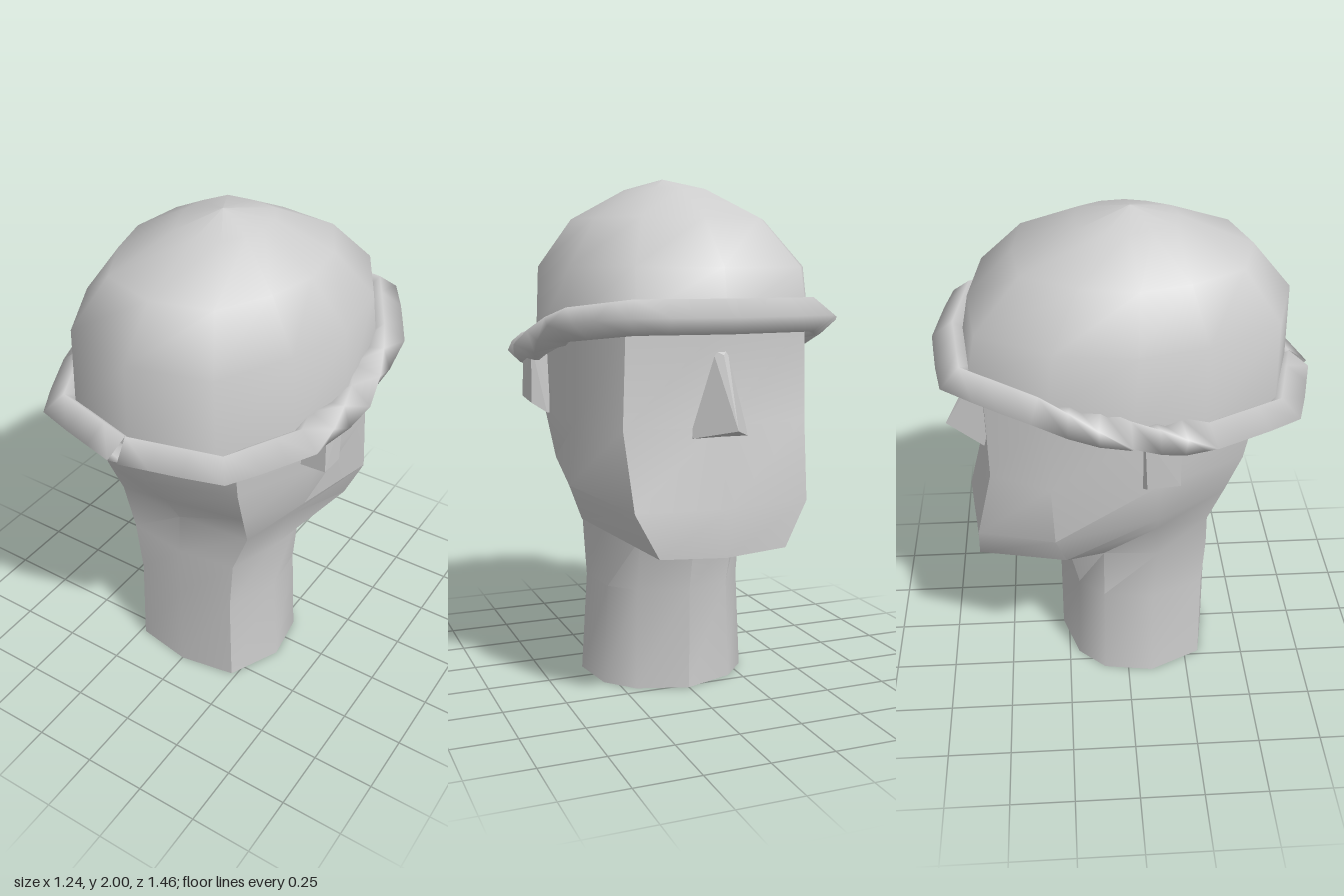
import * as THREE from 'three';
import { toCreasedNormals } from 'three/addons/utils/BufferGeometryUtils.js';
import { ConvexGeometry } from 'three/addons/geometries/ConvexGeometry.js';

const grey = new THREE.MeshStandardMaterial({ color: 0xcccccc, side: THREE.DoubleSide });
grey.name = 'plain grey';

// Skins closed rings of [x, y, z] points, then keeps edges above the crease angle sharp
function loft(rings, crease) {
  const n = rings[0].length, index = [];
  for (let i = 0; i < rings.length - 1; i++) {
    for (let j = 0; j < n; j++) {
      const a = i * n + j, b = i * n + (j + 1) % n;
      index.push(a, b, b + n, a, b + n, a + n);
    }
  }
  const g = new THREE.BufferGeometry();
  g.setAttribute('position', new THREE.Float32BufferAttribute(rings.flat(2), 3));
  g.setIndex(index);
  g.computeVertexNormals();
  return crease ? toCreasedNormals(g, crease) : g;
}

// Completes a half ring whose first and last points lie on x = 0
const mirrorRing = (half) => [...half, ...half.slice(1, -1).reverse().map(([x, y, z]) => [-x, y, z])];

function part(group, name, geometry) {
  const mesh = new THREE.Mesh(geometry, grey);
  mesh.name = name;
  group.add(mesh);
}

// Neck, jaw and face: each half ring runs from the nape round the side to the face
function headGeometry() {
  const rows = [
    [[0, 0, .35], [.23, 0, .31], [.33, 0, .1], [.3, 0, -.1], [.2, 0, -.21], [0, 0, -.275]],
    [[0, .4, .35], [.22, .4, .31], [.305, .4, .1], [.28, .4, -.1], [.19, .4, -.2], [0, .4, -.275]],
    [[0, .62, .345], [.24, .63, .32], [.315, .64, .12], [.3, .64, -.1], [.2, .615, -.25], [0, .61, -.32]],
    [[0, .8, .34], [.3, .8, .31], [.36, .8, .1], [.43, .72, -.25], [.25, .63, -.6], [0, .62, -.625]],
    [[0, .95, .43], [.315, .95, .37], [.43, .9, .1], [.49, .86, -.29], [.34, .8, -.59], [0, .8, -.635]],
    [[0, 1.11, .535], [.33, 1.11, .43], [.47, 1.09, .1], [.47, 1.09, -.3], [.36, 1.09, -.525], [0, 1.09, -.56]],
    [[0, 1.33, .57], [.34, 1.33, .47], [.48, 1.36, .1], [.465, 1.44, -.3], [.35, 1.46, -.53], [0, 1.46, -.57]],
  ];
  return loft(rows.map(mirrorRing), 0.62);
}

// Rounded cap: one plan outline, shrunk towards the crown
function capGeometry() {
  const plan = [[0, .63], [.31, .54], [.46, .26], [.53, 0], [.49, -.3], [.33, -.58], [0, -.62]];
  const rimY = [1.32, 1.32, 1.33, 1.37, 1.45, 1.49, 1.49];
  const levels = [[0, 1, 0], [1.66, .97, .015], [1.84, .71, .03], [1.955, .31, .01], [2, .001, .02]];
  const rings = levels.map(([y, s, shift]) =>
    mirrorRing(plan.map(([x, z], i) => [x * s, y || rimY[i], z * s + shift])));
  return loft(rings);
}

// Rolled band: diamond section following the rim, twisting over at each temple
function bandGeometry() {
  const half = [
    [0, 1.32, .645, 0], [.35, 1.32, .555, 0], [.495, 1.32, .27, 0], [.54, 1.365, -.01, Math.PI / 2],
    [.505, 1.455, -.33, Math.PI], [.345, 1.49, -.605, Math.PI], [0, 1.49, -.65, Math.PI],
  ];
  const keys = [...half, ...half.slice(0, -1).reverse().map(([x, y, z, t]) => [-x, y, z, t])];
  const path = [];
  const steps = 3;
  for (let i = 0; i < keys.length - 1; i++) {
    for (let k = 0; k < steps; k++) {
      path.push(keys[i].map((v, c) => v + (keys[i + 1][c] - v) * k / steps));
    }
  }
  path.push(keys[keys.length - 1]);
  const rings = path.map(([x, y, z, twist], i) => {
    const p = path[Math.max(i - 1, 0)], q = path[Math.min(i + 1, path.length - 1)];
    const dx = q[0] - p[0], dz = q[2] - p[2], len = Math.hypot(dx, dz);
    const ox = -dz / len, oz = dx / len; // outward direction in plan
    return [0, 1, 2, 3].map((j) => {
      const a = twist - j * Math.PI / 2;
      const out = .082 * Math.cos(a);
      return [x + ox * out, y + .062 * Math.sin(a), z + oz * out];
    });
  });
  return loft(rings);
}

const hull = (points) => new ConvexGeometry(points.map((p) => new THREE.Vector3(...p)));

export function createModel() {
  const model = new THREE.Group();
  model.name = 'cappedHead';
  part(model, 'headAndNeck', headGeometry());
  part(model, 'cap', capGeometry());
  part(model, 'rolledBand', bandGeometry());

  // Wedge nose
  part(model, 'nose', hull([
    [-.03, 1.37, -.55], [.03, 1.37, -.55], [-.115, 1.05, -.55], [.115, 1.05, -.55],
    [0, 1.35, -.585], [0, 1.095, -.715],
  ]));

  // Ear tabs with slanted lower edges
  for (const [name, s] of [['leftEar', 1], ['rightEar', -1]]) {
    part(model, name, hull([
      [s * .44, 1.36, .17], [s * .54, 1.36, .17], [s * .44, 1.36, .04], [s * .54, 1.36, .04],
      [s * .44, 1.14, .17], [s * .545, 1.145, .17], [s * .44, 1.09, .04], [s * .48, 1.09, .04],
      [s * .54, 1.13, .05],
    ]));
  }
  return model;
}
